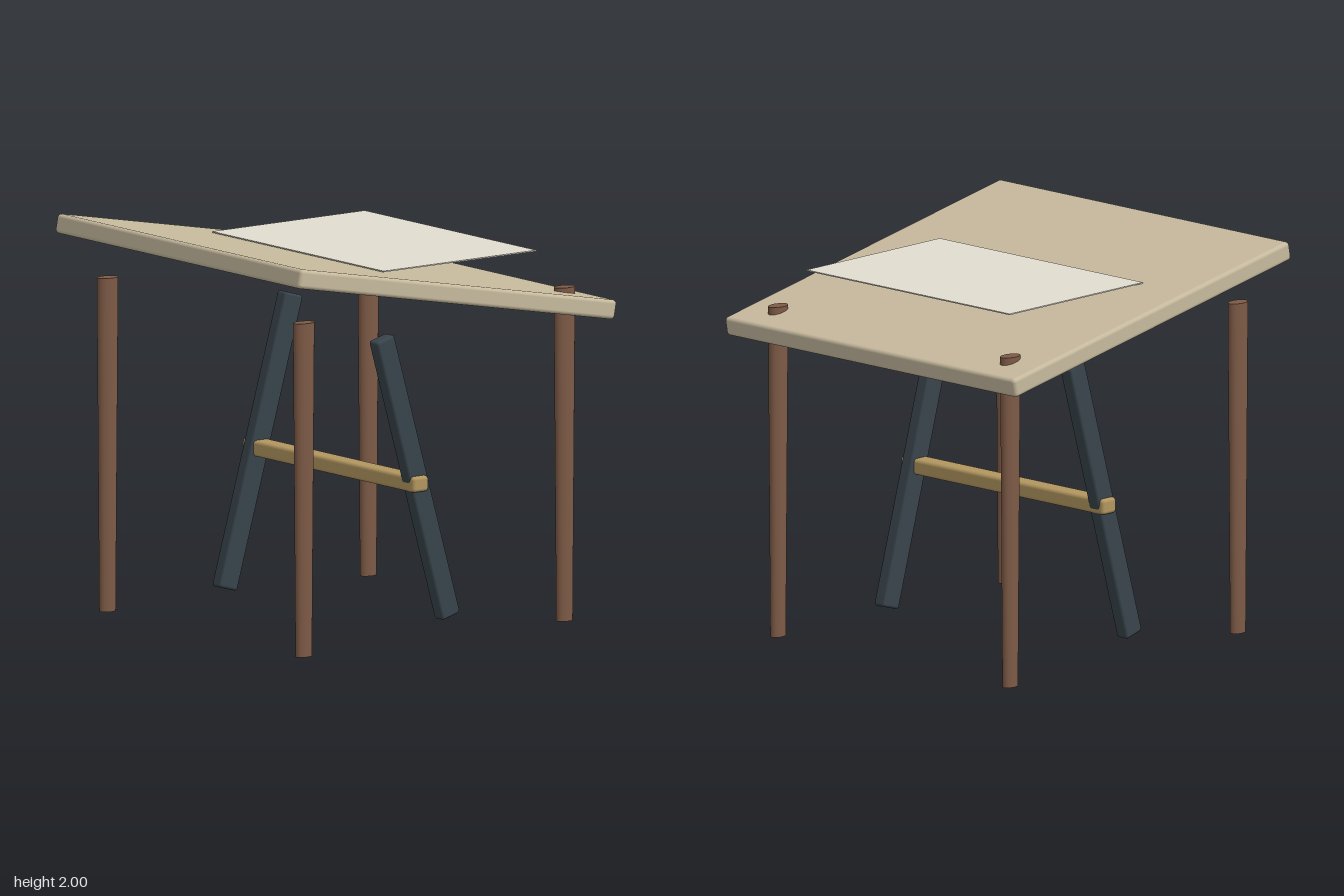
import * as THREE from 'three';
import { RoundedBoxGeometry } from 'three/addons/geometries/RoundedBoxGeometry.js';

const mat = (color) => new THREE.MeshStandardMaterial({ color });

export function createModel() {
  const model = new THREE.Group();
  const wood = mat(0xc6b99d);
  const walnut = mat(0x7d5a46);
  const steel = mat(0x38444b);
  const brass = mat(0xb2965f);
  const white = mat(0xe0dccf);

  const add = (name, geometry, material, x, y, z, tilt = 0) => {
    const mesh = new THREE.Mesh(geometry, material);
    mesh.name = name;
    mesh.position.set(x, y, z);
    mesh.rotation.x = tilt;
    model.add(mesh);
    return mesh;
  };

  // Tilted board, raised at the front
  add('tabletop', new RoundedBoxGeometry(2, 0.098, 2.024, 4, 0.02), wood, 0, 1.7675, 0, -0.187);

  // Level sheet resting over the board
  add('paperSheet', new THREE.BoxGeometry(1.4, 0.006, 0.96), white, 0, 1.868, -0.24);

  // Four tapered legs with an oval section
  const legGeometry = new THREE.CylinderGeometry(0.039, 0.03, 1.69, 32);
  legGeometry.scale(1, 1, 1.55);
  for (const x of [-0.8, 0.8]) {
    for (const z of [-0.82, 0.82]) {
      add(`${z > 0 ? 'front' : 'back'}${x > 0 ? 'Left' : 'Right'}Leg`, legGeometry, walnut, x, 0.845, z);
    }
  }

  // One leaning brace per side, tilted opposite ways
  const braceGeometry = new RoundedBoxGeometry(0.075, 1.51, 0.115, 3, 0.015);
  for (const side of [-1, 1]) {
    add(side > 0 ? 'leftBrace' : 'rightBrace', braceGeometry, steel, side * 0.64, 0.795, 0, side * 0.279);
  }

  // Rail joining the braces
  add('crossRail', new RoundedBoxGeometry(1.4, 0.08, 0.1, 3, 0.018), brass, 0, 0.765, 0.003);

  return model;
}
